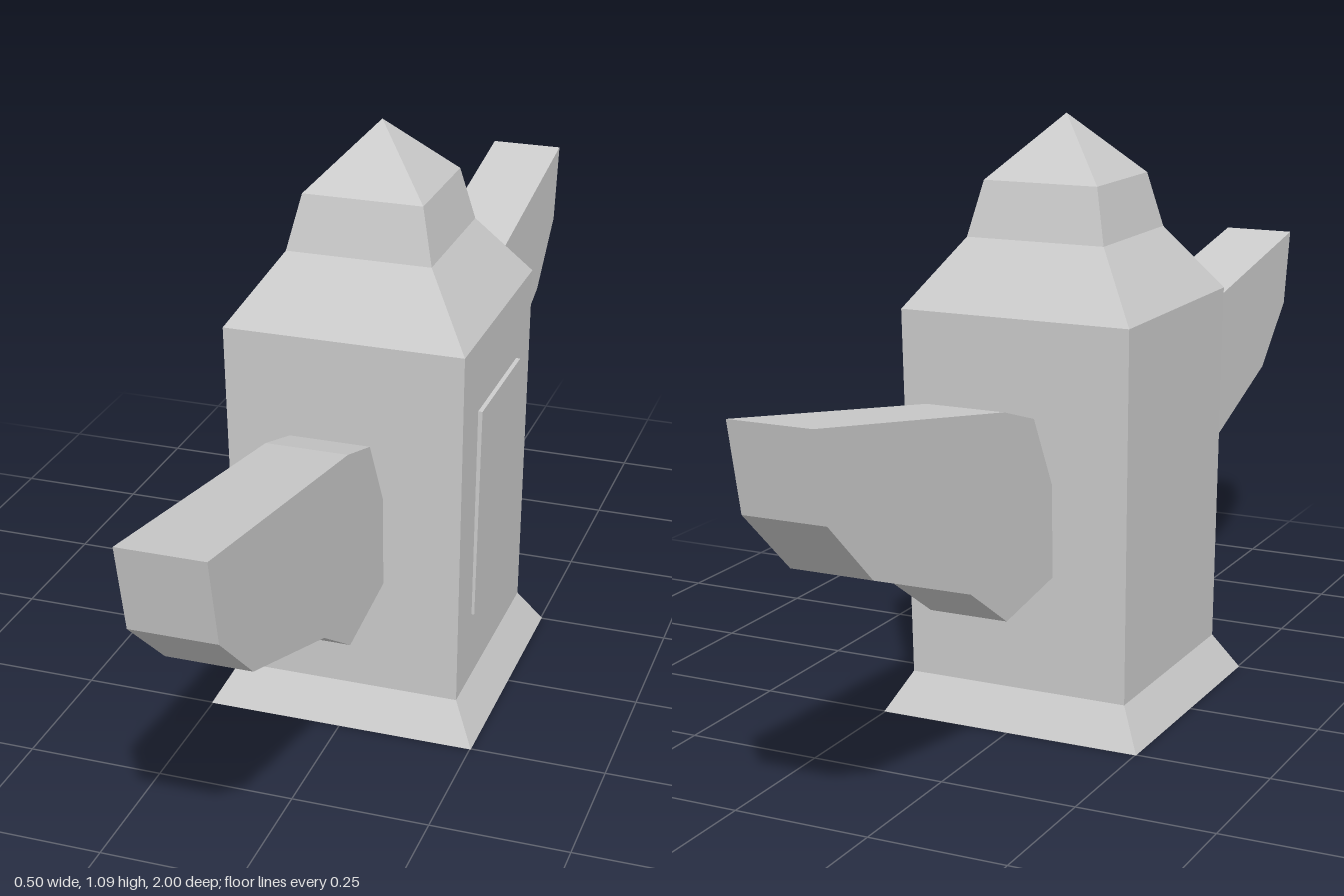
import * as THREE from 'three';

export function createModel() {
  const model = new THREE.Group();
  model.name = 'wingedTower';
  const stone = new THREE.MeshStandardMaterial({ color: 0xcccccc });
  stone.name = 'lightGrey';

  const add = (name, geometry) => {
    const mesh = new THREE.Mesh(geometry, stone);
    mesh.name = name;
    model.add(mesh);
    return mesh;
  };

  // Square, flat-faced section turned from [half width, height] pairs
  const squareLathe = (profile) => {
    const points = profile.map(([w, y]) => new THREE.Vector2(w * Math.SQRT2, y));
    const geometry = new THREE.LatheGeometry(points, 4, Math.PI / 4).toNonIndexed();
    geometry.computeVertexNormals();
    return geometry;
  };

  // Flared foot and slightly widening body
  add('body', squareLathe([[0, 0], [0.252, 0], [0.211, 0.072], [0.22, 0.75]]));

  // Stepped pyramid roof
  add('roof', squareLathe([[0.22, 0.75], [0.133, 0.872], [0.11, 0.972], [0, 1.085]]));

  // Wing outline: distance from the centre, height
  const outline = [
    [0.2, 0.29], [0.215, 0.29], [0.395, 0.264], [0.525, 0.35], [0.84, 0.465],
    [0.968, 0.583], [1, 0.735], [0.4, 0.63], [0.287, 0.594], [0.216, 0.46], [0.2, 0.44],
  ];
  const wingWidth = 0.146;
  const wing = new THREE.ExtrudeGeometry(
    new THREE.Shape(outline.map(([z, y]) => new THREE.Vector2(z, y))),
    { depth: wingWidth, bevelEnabled: false },
  );
  wing.translate(0, 0, -wingWidth / 2).rotateY(-Math.PI / 2);
  add('frontWing', wing);
  add('backWing', wing).rotation.y = Math.PI;

  // Raised door panel on the left side, following the wall's lean
  const door = add('doorPanel', new THREE.BoxGeometry(0.02, 0.407, 0.25));
  door.position.set(0.212, 0.408, 0);
  door.rotation.z = -0.02;

  return model;
}
